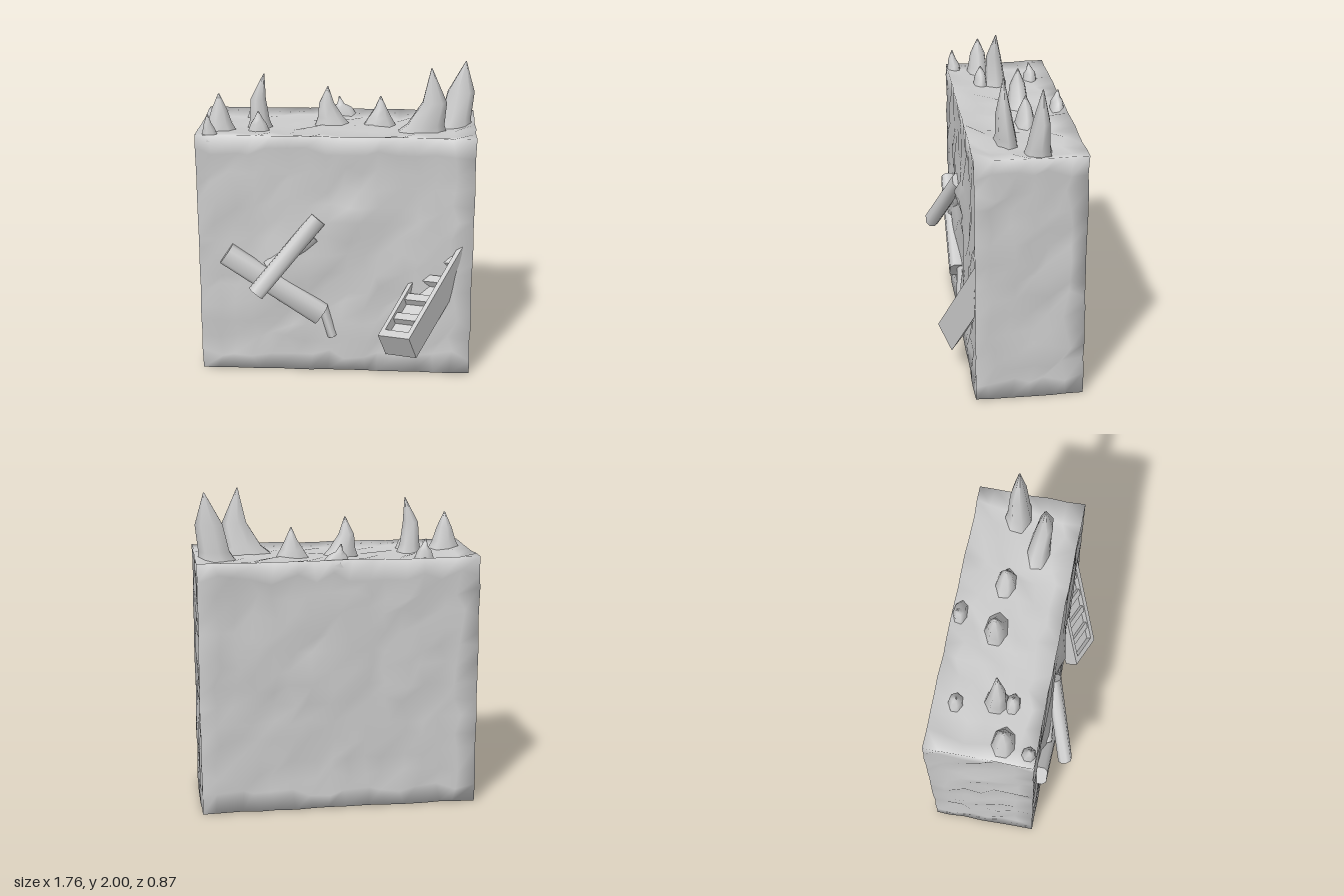
import * as THREE from 'three';
import { mergeVertices, toCreasedNormals } from 'three/addons/utils/BufferGeometryUtils.js';

// Repeatable noise in 0..1 for a position
function hash(x, y, z) {
  const s = Math.sin(x * 127.1 + y * 311.7 + z * 74.7) * 43758.5453;
  return s - Math.floor(s);
}
const bump = (x, y, cx, cy, w) => Math.exp(-((x - cx) ** 2 + (y - cy) ** 2) / (w * w));

// Rough block: shared vertices pushed slightly in and along each face
function blockGeometry() {
  const W = 1.76, H = 1.61, D = 0.68, zc = -0.1;
  let g = new THREE.BoxGeometry(W, H, D, 15, 14, 6);
  g.deleteAttribute('uv');
  g.deleteAttribute('normal');
  g = mergeVertices(g);
  const p = g.attributes.position;
  for (let i = 0; i < p.count; i++) {
    const v = new THREE.Vector3().fromBufferAttribute(p, i);
    const half = [W / 2, H / 2, D / 2];
    const c = v.toArray();
    const onFace = c.map((a, k) => Math.abs(a) > half[k] - 1e-4);
    const count = onFace.filter(Boolean).length;
    c.forEach((a, k) => {
      const n = hash(v.x + k * 3.1, v.y, v.z);
      if (onFace[k]) c[k] -= Math.sign(a) * n * (count > 1 ? 0.008 : 0.028);
      else c[k] += (n - 0.5) * 0.07;
    });
    // Swellings on the front, shallow hollow in the top
    if (onFace[2] && v.z > 0 && count === 1) {
      const y = v.y + H / 2;
      c[2] += 0.05 * bump(v.x, y, 0.12, 1.06, 0.13) + 0.04 * bump(v.x, y, -0.3, 0.75, 0.2)
        + 0.03 * bump(v.x, y, 0.05, 0.25, 0.12);
    }
    if (onFace[1] && v.y > 0 && count === 1) c[1] -= 0.015;
    p.setXYZ(i, c[0], Math.max(c[1], -H / 2) + H / 2, c[2] + zc);
  }
  g.computeVertexNormals();
  return g;
}

// Tapered spike through rings [x, y, z, rx, rz]
function spikeGeometry(rings, sides = 7) {
  const pos = [], idx = [];
  rings.forEach(([x, y, z, rx, rz]) => {
    for (let j = 0; j < sides; j++) {
      const a = (j / sides) * Math.PI * 2;
      pos.push(x + rx * Math.cos(a), y, z + rz * Math.sin(a));
    }
  });
  for (let i = 0; i < rings.length - 1; i++) {
    for (let j = 0; j < sides; j++) {
      const a = i * sides + j, b = i * sides + (j + 1) % sides;
      idx.push(a, a + sides, b, b, a + sides, b + sides);
    }
  }
  const g = new THREE.BufferGeometry();
  g.setAttribute('position', new THREE.Float32BufferAttribute(pos, 3));
  g.setIndex(idx);
  g.computeVertexNormals();
  return g;
}

// Chamfered beam between two points, section w by t
function beamGeometry(from, to, w, t) {
  const a = w / 2, b = t / 2, k = 0.025;
  const shape = new THREE.Shape([[a - k, -b], [a, -b + k], [a, b - k], [a - k, b], [k - a, b], [-a, b - k],
    [-a, k - b], [k - a, -b]].map(q => new THREE.Vector2(...q)));
  const A = new THREE.Vector3(...from), dir = new THREE.Vector3(...to).sub(A);
  const g = new THREE.ExtrudeGeometry(shape, { depth: dir.length(), bevelEnabled: false });
  const z = dir.clone().normalize();
  const x = new THREE.Vector3().crossVectors(z, new THREE.Vector3(0, 0, 1)).normalize();
  const y = new THREE.Vector3().crossVectors(z, x);
  g.applyMatrix4(new THREE.Matrix4().makeBasis(x, y, z).setPosition(A));
  return toCreasedNormals(g, 0.9);
}

export function createModel() {
  const model = new THREE.Group();
  const stone = new THREE.MeshStandardMaterial({ name: 'grey', color: 0xcccccc });
  const add = (name, geometry, parent = model) => {
    const m = new THREE.Mesh(geometry, stone);
    m.name = name;
    parent.add(m);
    return m;
  };

  add('roughBlock', blockGeometry());

  // Spikes: base [x, z, rx, rz], middle [x, y, z, r], tip [x, y, z]
  const spikes = new THREE.Group();
  spikes.name = 'spikes';
  model.add(spikes);
  [
    [[0.52, 0.01, 0.18, 0.08], [0.61, 1.78, 0.03, 0.08], [0.59, 2.0, 0.03]],
    [[0.73, -0.16, 0.13, 0.09], [0.78, 1.8, -0.17, 0.09], [0.81, 2.0, -0.17]],
    [[-0.5, -0.06, 0.09, 0.08], [-0.51, 1.77, -0.05, 0.05], [-0.47, 1.93, -0.06]],
    [[-0.75, 0.03, 0.12, 0.08], [-0.75, 1.72, 0.03, 0.05], [-0.75, 1.82, 0.03]],
    [[-0.04, -0.15, 0.13, 0.08], [-0.08, 1.72, -0.15, 0.05], [-0.07, 1.83, -0.15]],
    [[0.26, -0.15, 0.12, 0.07], [0.27, 1.69, -0.15, 0.04], [0.27, 1.77, -0.15]],
    [[-0.79, 0.19, 0.06, 0.05], [-0.8, 1.67, 0.2, 0.025], [-0.8, 1.73, 0.2]],
    [[-0.5, 0.04, 0.08, 0.05], [-0.5, 1.66, 0.04, 0.03], [-0.5, 1.71, 0.04]],
    [[-0.55, -0.3, 0.07, 0.05], [-0.55, 1.65, -0.3, 0.025], [-0.56, 1.7, -0.29]],
    [[0.02, -0.39, 0.1, 0.05], [0, 1.65, -0.39, 0.025], [-0.01, 1.7, -0.4]],
  ].forEach(([b, m, t]) => add('spike', spikeGeometry([
    [b[0], 1.56, b[1], b[2], b[3]],
    [b[0] * 0.6 + m[0] * 0.4, 1.63, b[1], b[2] * 0.5 + m[3] * 0.4, b[3] * 0.8],
    [m[0], m[1], m[2], m[3], Math.min(m[3], 0.05)],
    [...t, 0.003, 0.003],
  ]), spikes));

  // Two crossed planks leaning on the front
  add('lowerPlank', beamGeometry([-0.7, 0.82, 0.245], [-0.09, 0.41, 0.25], 0.14, 0.1));
  add('upperPlank', beamGeometry([-0.5, 0.605, 0.385], [-0.11, 1.06, 0.23], 0.105, 0.085));

  // Splinters beside the planks
  [
    [[-0.15, 0.95, 0.22], [-0.42, 0.72, 0.25], 0.12],
    [[-0.08, 0.45, 0.22], [-0.02, 0.25, 0.235], 0.06],
  ].forEach(([a, b, w]) => add('splinter', beamGeometry(a, b, w, 0.06)));

  // Tilted tray with rungs, laid out in unit coordinates: width, length, depth
  const tray = new THREE.Group();
  tray.name = 'rungedTray';
  model.add(tray);
  const frame = new THREE.Matrix4().makeBasis(
    new THREE.Vector3(0.2, 0.02, 0.09),
    new THREE.Vector3(0.33, 0.56, -0.2),
    new THREE.Vector3(-0.05, 0.17, 0.08)).setPosition(0.33, 0.14, 0.26);
  const slab = (name, x0, x1, y0, y1, z0, z1) => {
    const g = new THREE.BoxGeometry(x1 - x0, y1 - y0, z1 - z0);
    g.translate((x0 + x1) / 2, (y0 + y1) / 2, (z0 + z1) / 2).applyMatrix4(frame);
    g.computeVertexNormals();
    add(name, g, tray);
  };
  slab('trayBody', 0, 1, 0, 1, 0, 0.65);
  slab('leftRail', 0.86, 1, 0, 1, 0.65, 1);
  slab('rightRail', 0, 0.12, 0, 1, 0.65, 1);
  slab('endBoard', 0.12, 0.86, 0, 0.07, 0.65, 1);
  for (let i = 1; i <= 4; i++) slab('rung', 0.12, 0.86, i * 0.21, i * 0.21 + 0.07, 0.65, 0.9);

  return model;
}
